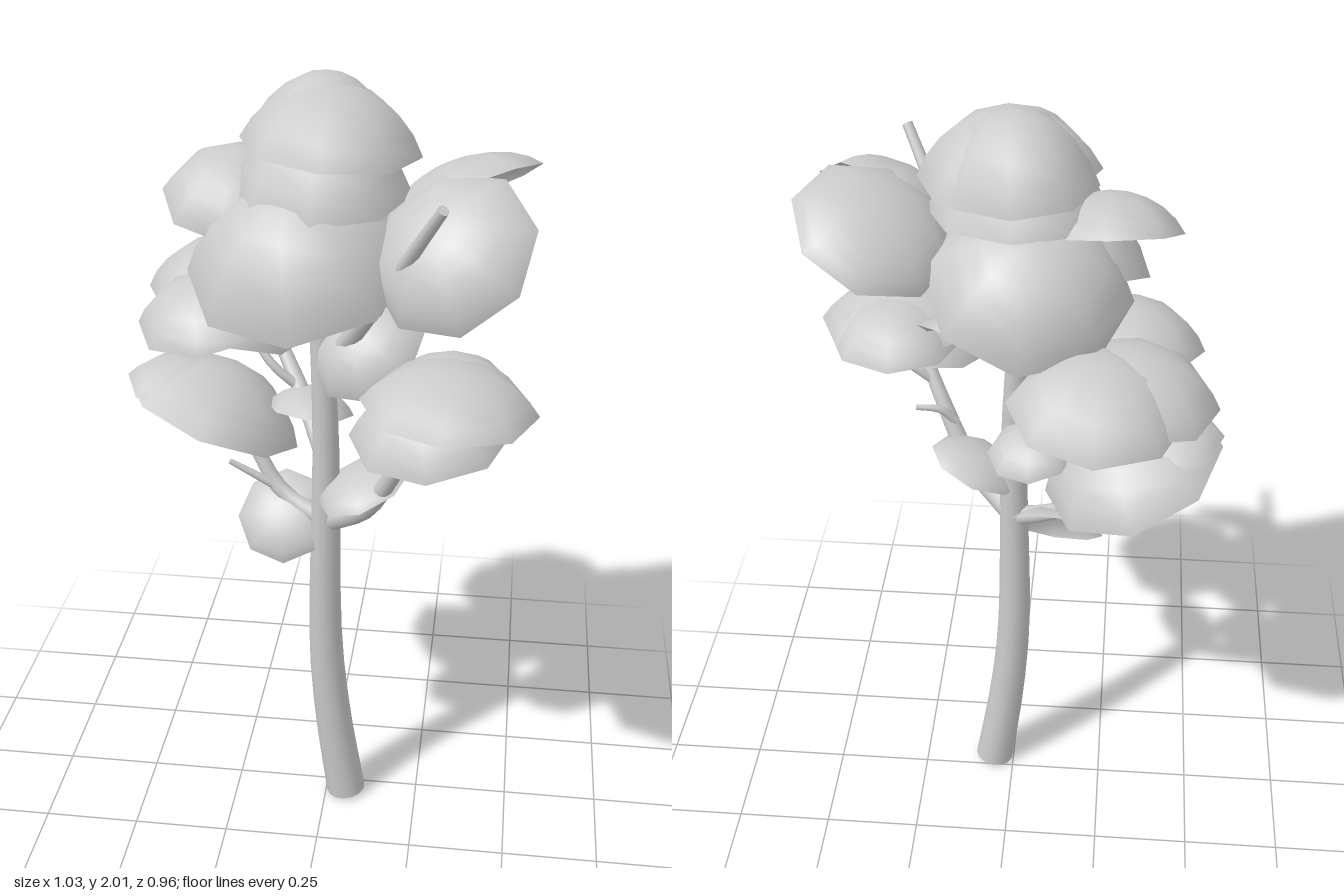
import * as THREE from 'three';

const material = new THREE.MeshStandardMaterial({ color: 0xcccccc, side: THREE.DoubleSide });
const UP = new THREE.Vector3(0, 1, 0);

// Limb swept through points, tapering evenly from radius r0 to r1
function limb(name, r0, r1, pts, sides = 10) {
  const steps = (pts.length - 1) * 4;
  const curve = new THREE.CatmullRomCurve3(pts.map(p => new THREE.Vector3(...p)));
  const geo = new THREE.TubeGeometry(curve, steps, 1, sides, false);
  const pos = geo.attributes.position;
  const v = new THREE.Vector3();
  for (let n = 0; n < pos.count; n++) {
    const t = Math.floor(n / (sides + 1)) / steps;
    const c = curve.getPointAt(t);
    v.fromBufferAttribute(pos, n).sub(c).multiplyScalar(THREE.MathUtils.lerp(r0, r1, t)).add(c);
    pos.setXYZ(n, v.x, v.y, v.z);
  }
  const group = new THREE.Group();
  group.name = name;
  const tube = new THREE.Mesh(geo, material);
  tube.name = name + 'Bark';
  group.add(tube);
  // Flat discs close both ends
  [0, 1].forEach(t => {
    const end = new THREE.Mesh(new THREE.CircleGeometry(t ? r1 : r0, sides), material);
    end.name = name + 'End';
    end.position.copy(curve.getPointAt(t));
    end.quaternion.setFromUnitVectors(new THREE.Vector3(0, 0, 1), curve.getTangentAt(t).multiplyScalar(t ? 1 : -1));
    group.add(end);
  });
  return group;
}

// Open eight-sided dome with unit rim radius and unit height
const THETA = 1.15;
const domeGeometry = new THREE.SphereGeometry(1, 8, 5, 0, Math.PI * 2, 0, THETA)
  .translate(0, -Math.cos(THETA), 0)
  .scale(1 / Math.sin(THETA), 1 / (1 - Math.cos(THETA)), 1 / Math.sin(THETA));

// Cluster of leaf domes: rim centre, rim radius, height, tilt of the axis in x and z
function leaves(name, domes) {
  const cluster = new THREE.Group();
  cluster.name = name;
  domes.forEach(([x, y, z, r, h, tiltX, tiltZ], i) => {
    const dome = new THREE.Mesh(domeGeometry, material);
    dome.name = name + 'Dome' + (i + 1);
    dome.position.set(x, y, z);
    dome.scale.set(r, h, r);
    dome.quaternion.setFromUnitVectors(UP, new THREE.Vector3(tiltX, 1, tiltZ).normalize());
    cluster.add(dome);
  });
  return cluster;
}

export function createModel() {
  const tree = new THREE.Group();
  tree.name = 'tree';

  // Trunk
  tree.add(limb('trunk', 0.053, 0.022, [
    [0.055, 0, 0.04], [0.02, 0.25, 0.045], [0, 0.5, 0.05], [0, 1.15, 0.06], [-0.03, 1.72, 0.05],
  ], 14));

  // Branches
  tree.add(
    limb('lowerLeftBranch', 0.03, 0.014, [[0.01, 0.88, 0.06], [0.11, 0.96, 0.13], [0.2, 1.13, 0.2], [0.28, 1.3, 0.29]]),
    limb('lowerRightBranch', 0.026, 0.011, [[0, 0.87, 0.05], [-0.12, 0.93, 0.01], [-0.2, 1.05, -0.02], [-0.32, 1.17, -0.06]]),
    limb('middleRightBranch', 0.026, 0.011, [[0, 1.06, 0.06], [-0.08, 1.19, -0.06], [-0.25, 1.43, -0.27]]),
    limb('upperLeftBranch', 0.026, 0.013, [[-0.01, 1.3, 0.06], [0.08, 1.43, 0.13], [0.285, 1.81, 0.365]]),
    limb('upperRightBranch', 0.02, 0.01, [[-0.025, 1.5, 0.06], [-0.1, 1.62, 0.04], [-0.22, 1.75, 0.01]]),
  );

  // Twigs
  tree.add(
    limb('lowerLeftTwig', 0.013, 0.007, [[0.16, 1.08, 0.17], [0.2, 1.12, 0.16], [0.26, 1.13, 0.15]]),
    limb('outerLeftTwig', 0.013, 0.007, [[0.22, 1.17, 0.22], [0.3, 1.23, 0.22], [0.4, 1.27, 0.3]]),
    limb('lowerRightTwig', 0.013, 0.007, [[-0.13, 0.94, 0.01], [-0.25, 1.01, 0.02]]),
    limb('middleRightTwig', 0.013, 0.008, [[-0.08, 1.19, -0.06], [-0.15, 1.25, -0.06], [-0.25, 1.38, -0.12]]),
    limb('upperLeftTwig', 0.015, 0.009, [[0.13, 1.5, 0.18], [0.2, 1.62, 0.08], [0.3, 1.76, -0.03]]),
  );

  // Foliage, from the crown downwards
  tree.add(
    leaves('crown', [
      [-0.01, 1.83, 0, 0.185, 0.17, 0.02, 0],
      [0.01, 1.84, 0.04, 0.21, 0.145, 0.08, 0],
      [-0.01, 1.74, 0.05, 0.21, 0.18, 0, 0.1],
    ]),
    leaves('upperLeaves', [
      [-0.22, 1.71, 0.01, 0.17, 0.1, 0.05, 0.4],
      [-0.05, 1.58, 0.11, 0.27, 0.21, -0.1, 0.4],
      [-0.04, 1.61, -0.06, 0.245, 0.17, -0.15, -0.5],
    ]),
    leaves('upperLeftLeaves', [
      [0.3, 1.66, 0.21, 0.2, 0.1, -0.58, 1.08],
      [0.31, 1.72, -0.03, 0.195, 0.08, -0.45, -0.4],
    ]),
    leaves('middleRightLeaves', [
      [-0.21, 1.42, -0.27, 0.205, 0.12, -0.05, -0.1],
      [-0.29, 1.42, -0.2, 0.2, 0.11, -0.15, 0],
      [-0.25, 1.36, -0.14, 0.2, 0.13, 0.33, 0.1],
      [-0.28, 1.42, 0.05, 0.18, 0.1, -0.15, 0.2],
    ]),
    leaves('middleLeftLeaves', [
      [0.31, 1.32, 0.28, 0.205, 0.1, 0.05, 0],
      [0.31, 1.31, 0.2, 0.17, 0.1, 0, -0.05],
      [0.27, 1.25, 0.27, 0.19, 0.12, -0.1, 0.2],
      [0.1, 1.36, 0.06, 0.15, 0.09, -0.5, 0.75],
    ]),
    leaves('lowerLeaves', [
      [-0.3, 1.11, -0.05, 0.23, 0.14, 0.39, -0.16],
      [-0.36, 1.18, -0.04, 0.16, 0.08, 0.2, 0],
      [-0.05, 1.14, -0.04, 0.11, 0.06, 0.1, -0.2],
      [0.1, 1.0, 0.09, 0.125, 0.05, -0.44, 0.1],
      [-0.11, 0.86, 0.02, 0.125, 0.05, -0.17, 1.17],
    ]),
  );
  return tree;
}
